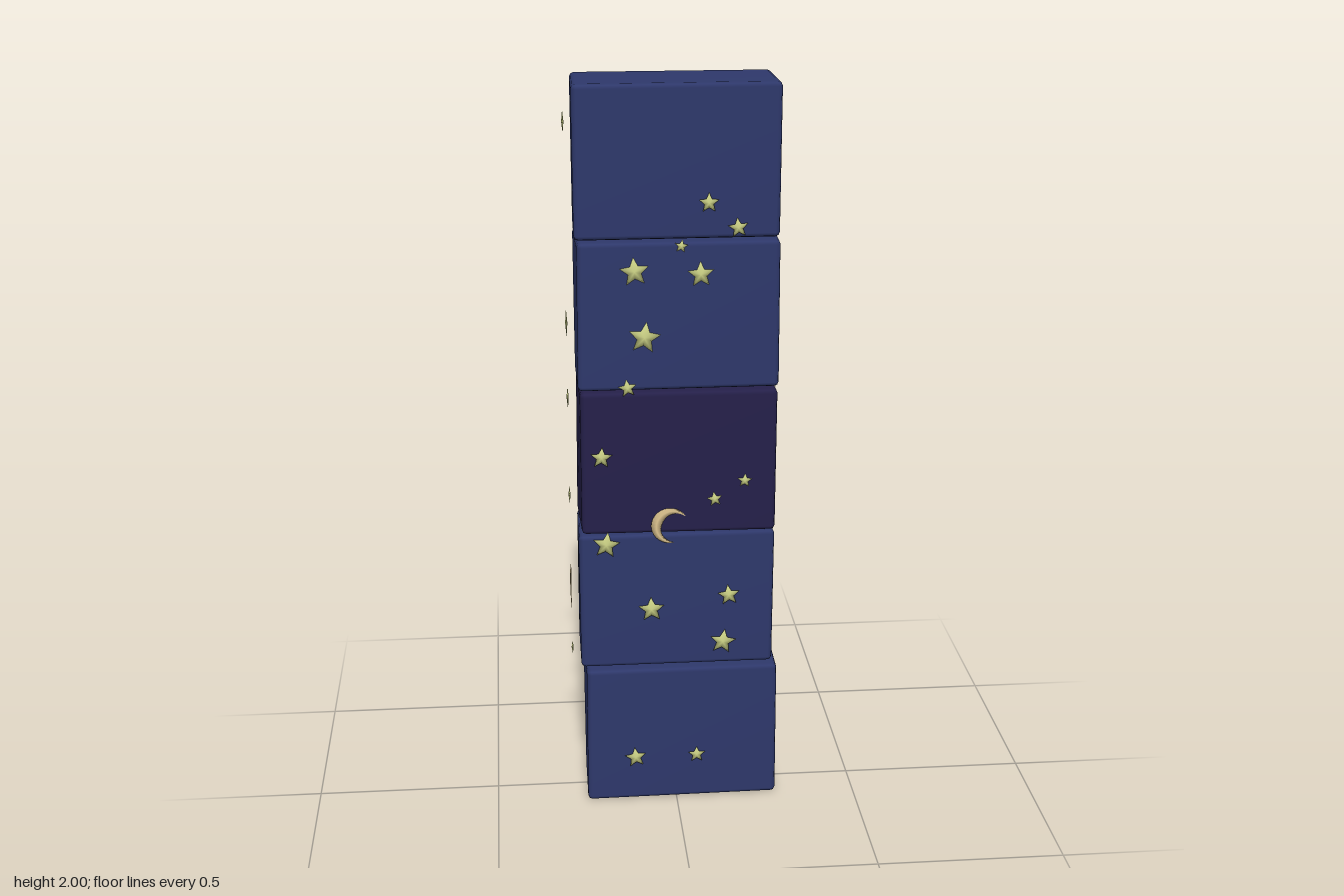
import * as THREE from 'three';
import { RoundedBoxGeometry } from 'three/addons/geometries/RoundedBoxGeometry.js';
import { mergeVertices } from 'three/addons/utils/BufferGeometryUtils.js';

const material = (name, color) => {
  const m = new THREE.MeshStandardMaterial({ color });
  m.name = name;
  return m;
};

// Softly chamfered block with slightly uneven corners and blended normals
function blockGeometry(w, h, d, seed) {
  let g = new RoundedBoxGeometry(w, h, d, 1, 0.012);
  g.deleteAttribute('normal');
  g.deleteAttribute('uv');
  g = mergeVertices(g, 1e-4);
  const p = g.attributes.position;
  for (let i = 0; i < p.count; i++) {
    const x = p.getX(i), y = p.getY(i), z = p.getZ(i);
    const corner = (x > 0 ? 1 : 0) + (y > 0 ? 2 : 0) + (z > 0 ? 4 : 0);
    const k = 0.003 * Math.sin(corner * 2.7 + seed * 1.9);
    p.setXYZ(i, x + k, y, z - k);
  }
  g.computeVertexNormals();
  return g;
}

function indexed(points, index) {
  const g = new THREE.BufferGeometry();
  g.setAttribute('position', new THREE.Float32BufferAttribute(points, 3));
  g.setIndex(index);
  g.computeVertexNormals();
  return g;
}

// Thin puffed five-pointed star of radius 1
function starGeometry() {
  const points = [0, 0, 0.1, 0, 0, -0.1], index = [];
  for (let i = 0; i < 10; i++) {
    const a = Math.PI / 2 + i * Math.PI / 5, r = i % 2 ? 0.46 : 1;
    points.push(r * Math.cos(a), r * Math.sin(a), 0);
    const p = 2 + i, q = 2 + (i + 1) % 10;
    index.push(0, p, q, 1, q, p);
  }
  return indexed(points, index);
}

// Thin puffed crescent of radius 1, opening towards +x
function moonGeometry() {
  const points = [], index = [], n = 20;
  for (let i = 0; i <= n; i++) {
    const t = i / n, a = Math.PI * (0.3 + 1.4 * t);
    const swell = Math.sin(Math.PI * t), inner = 1 - 0.56 * swell - 0.02;
    const ring = [[1, 0], [(1 + inner) / 2, 0.06 * swell], [inner, 0], [(1 + inner) / 2, -0.06 * swell]];
    for (const [r, z] of ring) points.push(r * Math.cos(a), r * Math.sin(a), z);
    if (i === n) continue;
    for (let j = 0; j < 4; j++) {
      const p = i * 4 + j, q = i * 4 + (j + 1) % 4;
      index.push(p, p + 4, q, q, p + 4, q + 4);
    }
  }
  // The ring runs outer, front, inner, back, so flip to face outwards
  for (let i = 0; i < index.length; i += 3) [index[i + 1], index[i + 2]] = [index[i + 2], index[i + 1]];
  const g = indexed(points, index);
  return facesOut(g) ? g : indexed(points, index.reverse());
}

// True when the front ridge normals point forwards
function facesOut(g) {
  return g.attributes.normal.getZ(4 * 10 + 1) > 0;
}

export function createModel() {
  const model = new THREE.Group();
  model.name = 'starryBlockTower';
  const blue = material('nightBlue', 0x2e386b);
  const purple = material('darkPurple', 0x25204a);
  const starYellow = material('paleYellow', 0xd2d88a);
  const moonCream = material('moonCream', 0xe2c892);
  starYellow.side = moonCream.side = THREE.DoubleSide;

  // Blocks from the bottom: x centre, bottom, top, back z, front z
  [
    [0.016, 0.0, 0.399, -0.108, 0.101, blue],
    [0.0, 0.413, 0.801, -0.108, 0.106, blue],
    [0.005, 0.805, 1.201, -0.1, 0.111, purple],
    [0.005, 1.207, 1.6, -0.099, 0.111, blue],
    [0.0, 1.606, 2.0, -0.106, 0.109, blue],
  ].forEach(([x, y0, y1, z0, z1, mat], i) => {
    const block = new THREE.Mesh(blockGeometry(0.523, y1 - y0, z1 - z0, i), mat);
    block.name = 'block' + (i + 1);
    block.position.set(x, (y0 + y1) / 2, (z0 + z1) / 2);
    model.add(block);
  });

  // Each side: offset from the axis, turn, stars [x or z, y, radius], moon [x or z, y, radius, tilt]
  const sides = {
    front: {
      at: 0.114, turn: 0,
      stars: [
        [0.08, 1.7, 0.027], [0.155, 1.635, 0.027], [0.01, 1.59, 0.018], [-0.11, 1.525, 0.039],
        [0.06, 1.515, 0.035], [-0.085, 1.35, 0.043], [-0.13, 1.215, 0.025], [-0.2, 1.025, 0.03],
        [0.18, 0.95, 0.02], [0.1, 0.9, 0.021], [-0.19, 0.777, 0.038], [-0.07, 0.585, 0.037],
        [0.14, 0.62, 0.031], [0.125, 0.482, 0.037], [-0.115, 0.136, 0.031], [0.055, 0.138, 0.025],
      ],
      moon: [-0.02, 0.828, 0.05, -0.4],
    },
    back: {
      at: -0.112, turn: Math.PI,
      stars: [
        [-0.086, 1.78, 0.023], [-0.007, 1.7, 0.021], [0.086, 1.64, 0.021], [-0.139, 1.61, 0.031],
        [0.086, 1.376, 0.034], [-0.08, 1.18, 0.032], [-0.185, 1.23, 0.021], [0.139, 0.88, 0.034],
        [-0.106, 0.694, 0.031], [0.073, 0.533, 0.027], [-0.165, 0.531, 0.027], [0.066, 0.326, 0.033],
        [-0.04, 0.27, 0.029], [-0.145, 0.228, 0.023],
      ],
      moon: [-0.115, 1.325, 0.06, -0.4],
    },
    right: {
      at: -0.282, turn: -Math.PI / 2,
      stars: [
        [-0.005, 1.89, 0.031], [0.0, 1.363, 0.039], [-0.005, 1.157, 0.031], [-0.005, 0.88, 0.024],
        [0.012, 0.434, 0.018],
      ],
      moon: [0.0, 0.61, 0.064, -0.15],
    },
    left: { at: 0.268, turn: Math.PI / 2, stars: [[0.035, 0.535, 0.024], [0.036, 1.2, 0.016]] },
  };
  const starGeo = starGeometry(), moonGeo = moonGeometry();

  for (const [side, { at, turn, stars, moon }] of Object.entries(sides)) {
    const group = new THREE.Group();
    group.name = side + 'Decorations';
    const acrossX = side === 'front' || side === 'back';
    const place = (geo, mat, name, [u, y, r], tilt) => {
      const mesh = new THREE.Mesh(geo, mat);
      mesh.name = name;
      mesh.position.set(acrossX ? u : at, y, acrossX ? at : u);
      mesh.rotation.set(0, turn, tilt, 'YXZ');
      mesh.scale.set(r, r, 0.03);
      group.add(mesh);
    };
    stars.forEach((s, i) => place(starGeo, starYellow, 'star' + (i + 1), s, 0.15 * Math.sin(i * 2.3)));
    if (moon) place(moonGeo, moonCream, 'moon', moon, moon[3]);
    model.add(group);
  }
  return model;
}
